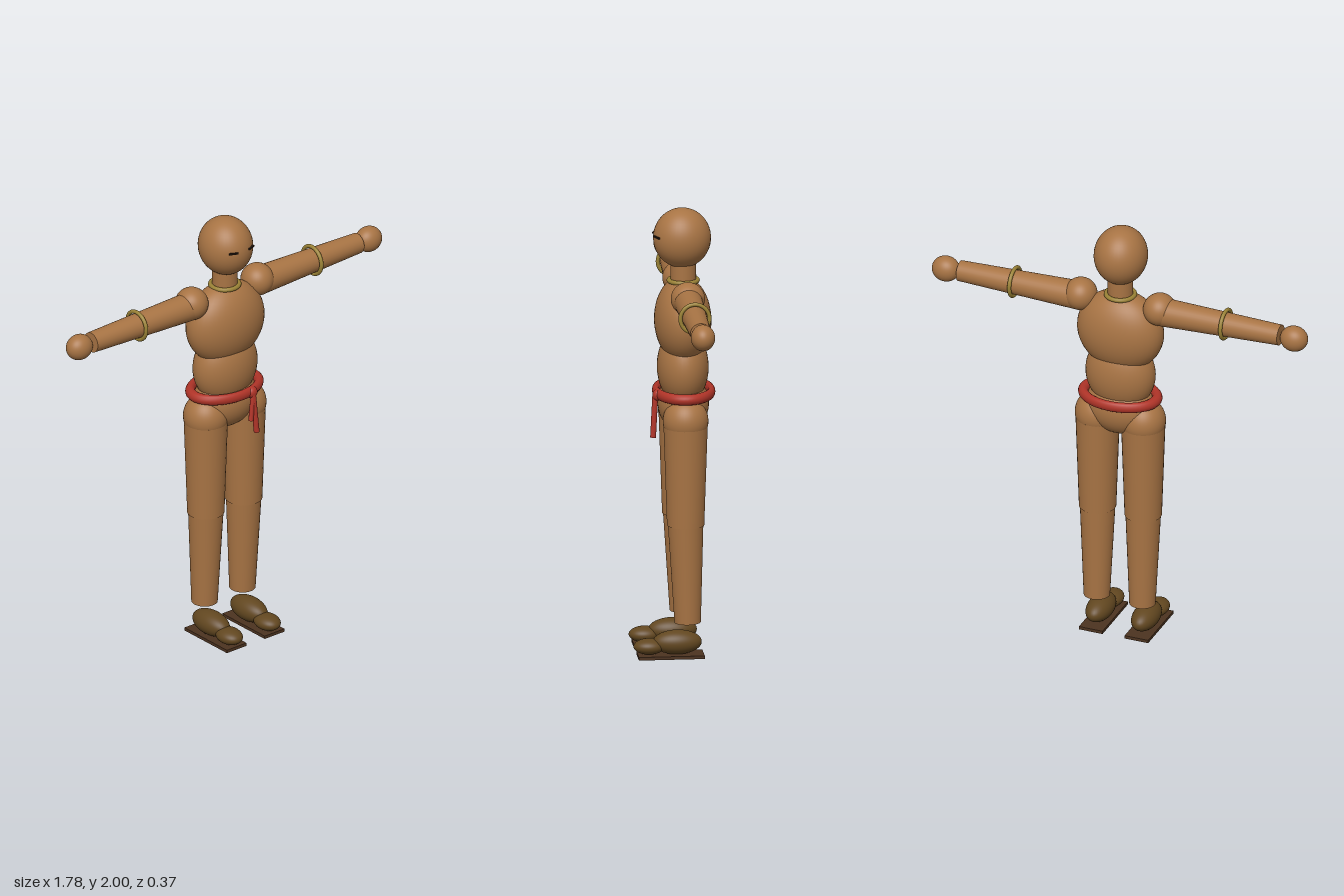
import * as THREE from 'three';

const mat = (name, color) => {
  const m = new THREE.MeshStandardMaterial({ color });
  m.name = name;
  return m;
};

export function createModel() {
  const skin = mat('skin brown', 0xa87444);
  const gold = mat('gold', 0x9a8236);
  const red = mat('sash red', 0xb03428);
  const shoe = mat('shoe brown', 0x624720);
  const sole = mat('sole brown', 0x4c3320);
  const dark = mat('eye dark', 0x22160e);
  const model = new THREE.Group();
  const Z = -0.045; // depth of the body axis

  const add = (name, geo, material, x, y, z) => {
    const m = new THREE.Mesh(geo, material);
    m.name = name;
    m.position.set(x, y, z);
    model.add(m);
    return m;
  };
  const ellipsoid = (name, material, x, y, z, rx, ry, rz) =>
    add(name, new THREE.SphereGeometry(1, 40, 28).scale(rx, ry, rz), material, x, y, z);
  // tapered round limb between two points
  const limb = (name, material, a, b, ra, rb, sides = 32) => {
    const p = new THREE.Vector3(...a), q = new THREE.Vector3(...b);
    const d = q.clone().sub(p), c = p.clone().add(q).multiplyScalar(0.5);
    const m = add(name, new THREE.CylinderGeometry(rb, ra, d.length(), sides), material, c.x, c.y, c.z);
    m.quaternion.setFromUnitVectors(new THREE.Vector3(0, 1, 0), d.normalize());
    return m;
  };
  const ring = (name, material, r, tube, x, y, z) =>
    add(name, new THREE.TorusGeometry(r, tube, 14, 56), material, x, y, z);

  // head, neck and torso
  ellipsoid('head', skin, 0, 1.867, -0.04, 0.118, 0.133, 0.127);
  limb('neck', skin, [0, 1.62, Z], [0, 1.77, Z], 0.056, 0.056);
  ring('collar', gold, 0.063, 0.01, 0, 1.675, Z).rotation.x = Math.PI / 2;
  ellipsoid('chest', skin, 0, 1.497, -0.043, 0.2, 0.19, 0.125);
  ellipsoid('abdomen', skin, 0, 1.285, -0.043, 0.16, 0.175, 0.113);
  ellipsoid('pelvis', skin, 0, 1.12, Z, 0.16, 0.13, 0.112);

  // waist sash with knot and two hanging ends
  const sash = ring('sash', red, 0.168, 0.024, 0, 1.175, -0.047);
  sash.rotation.x = Math.PI / 2;
  sash.scale.y = 0.72;
  ellipsoid('sashKnot', red, 0.055, 1.172, 0.074, 0.027, 0.026, 0.022);
  limb('sashLongEnd', red, [0.054, 1.175, 0.083], [0.066, 0.983, 0.094], 0.013, 0.013, 12);
  limb('sashShortEnd', red, [0.056, 1.175, 0.083], [0.036, 1.045, 0.09], 0.011, 0.011, 12);

  for (const s of [-1, 1]) {
    const side = s > 0 ? 'left' : 'right';

    // closed eye
    const eye = add(side + 'Eye', new THREE.BoxGeometry(0.042, 0.007, 0.009), dark, s * 0.05, 1.883, 0.076);
    eye.rotation.y = s * 0.4;

    // arm
    ellipsoid(side + 'Shoulder', skin, s * 0.187, 1.638, -0.047, 0.073, 0.073, 0.075);
    limb(side + 'Arm', skin, [s * 0.19, 1.627, -0.047], [s * 0.76, 1.63, -0.047], 0.064, 0.046);
    ellipsoid(side + 'Hand', skin, s * 0.825, 1.628, -0.05, 0.063, 0.058, 0.053);
    ring(side + 'Armband', gold, 0.064, 0.009, s * 0.5, 1.63, -0.047).rotation.y = Math.PI / 2;

    // leg
    const x = s * 0.108;
    ellipsoid(side + 'Hip', skin, x, 1.065, Z, 0.1, 0.104, 0.1);
    limb(side + 'Thigh', skin, [x, 1.04, Z], [x, 0.595, Z], 0.097, 0.082);
    limb(side + 'Shin', skin, [x, 0.6, Z], [x, 0.155, -0.054], 0.078, 0.058);

    // shoe
    ellipsoid(side + 'Foot', shoe, x, 0.066, -0.008, 0.058, 0.054, 0.108);
    ellipsoid(side + 'Toe', shoe, x, 0.049, 0.115, 0.053, 0.035, 0.069);
    add(side + 'Sole', new THREE.BoxGeometry(0.112, 0.014, 0.29), sole, x, 0.007, 0.021);
  }
  return model;
}
